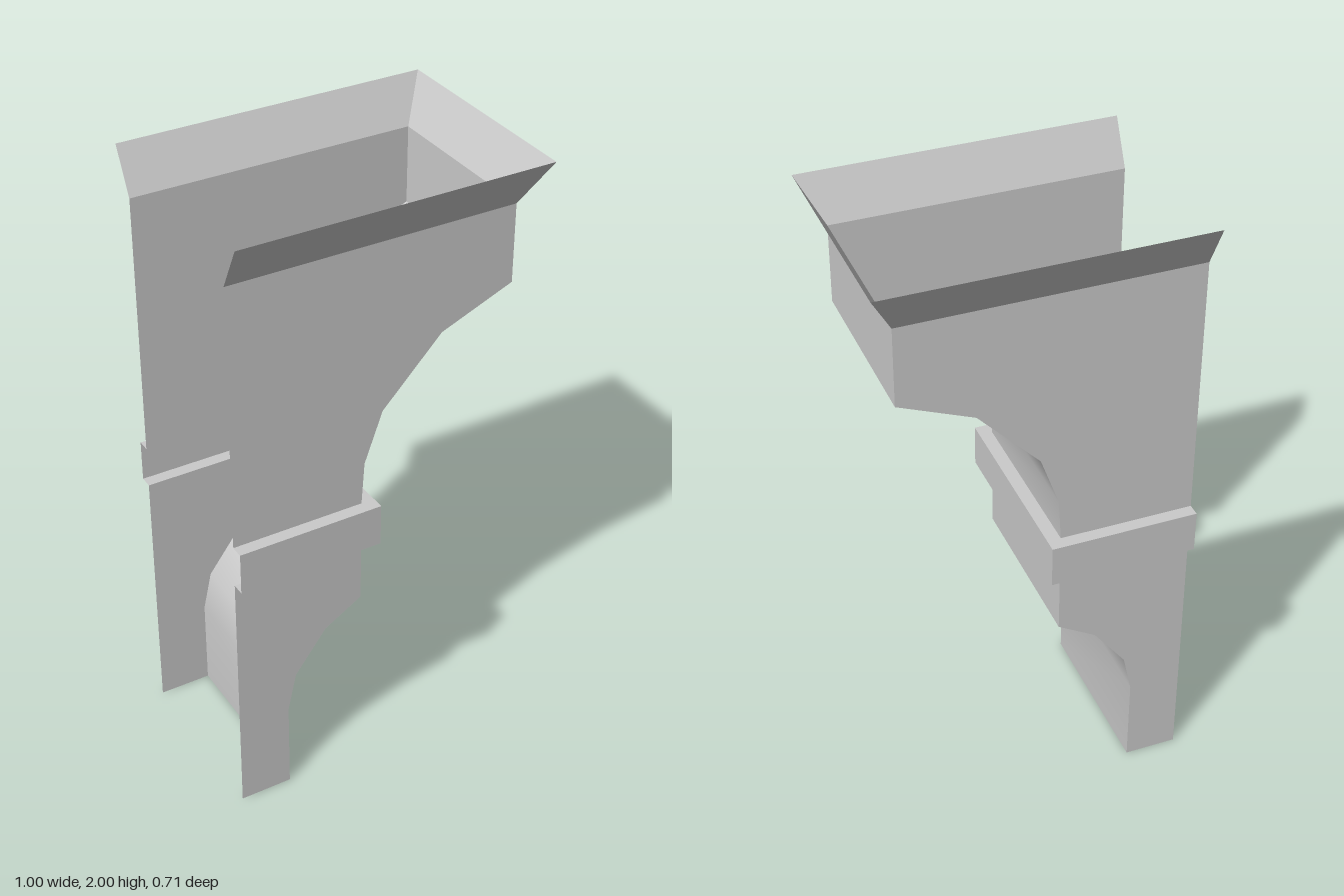
import * as THREE from 'three';
import { toCreasedNormals } from 'three/addons/utils/BufferGeometryUtils.js';

const BACK = -0.5;   // open wall side
const HALF = 0.286;  // half width of the body

// Skins a stack of U-shaped sections, top to bottom; each is [front x, y, half width].
function shell(name, sections) {
  const rows = sections.map(([x, y, h = HALF]) => [
    [BACK, y, h], [x, y, h], [x, y, -h], [BACK, y, -h],
  ]);
  const positions = [];
  for (let i = 0; i < rows.length - 1; i++) {
    for (let j = 0; j < 3; j++) {
      const a = rows[i][j], b = rows[i][j + 1];
      const c = rows[i + 1][j], d = rows[i + 1][j + 1];
      positions.push(...a, ...c, ...b, ...b, ...c, ...d);
    }
  }
  const geometry = new THREE.BufferGeometry();
  geometry.setAttribute('position', new THREE.Float32BufferAttribute(positions, 3));
  const material = new THREE.MeshStandardMaterial({ color: 0xcccccc, side: THREE.DoubleSide });
  const mesh = new THREE.Mesh(toCreasedNormals(geometry, THREE.MathUtils.degToRad(40)), material);
  mesh.name = name;
  return mesh;
}

export function createModel() {
  const group = new THREE.Group();
  group.name = 'bracket';
  group.add(
    // Flared rim at the top, left open
    shell('cornice', [[0.5, 2, 0.357], [0.425, 1.86]]),
    // Block with the large concave sweep beneath it
    shell('upperBracket', [
      [0.425, 1.86], [0.425, 1.607], [0.19, 1.51], [-0.005, 1.305], [-0.064, 1.14], [-0.073, 1],
    ]),
    // Projecting band with ledges above and below, hollow inside
    shell('band', [
      [-0.073, 1], [-0.03, 1, 0.327], [-0.03, 0.862, 0.327], [-0.073, 0.862],
    ]),
    // Smaller concave sweep running down to the foot
    shell('lowerBracket', [
      [-0.073, 0.862], [-0.073, 0.646], [-0.197, 0.571], [-0.302, 0.43], [-0.33, 0.3], [-0.33, 0],
    ]),
  );
  return group;
}
